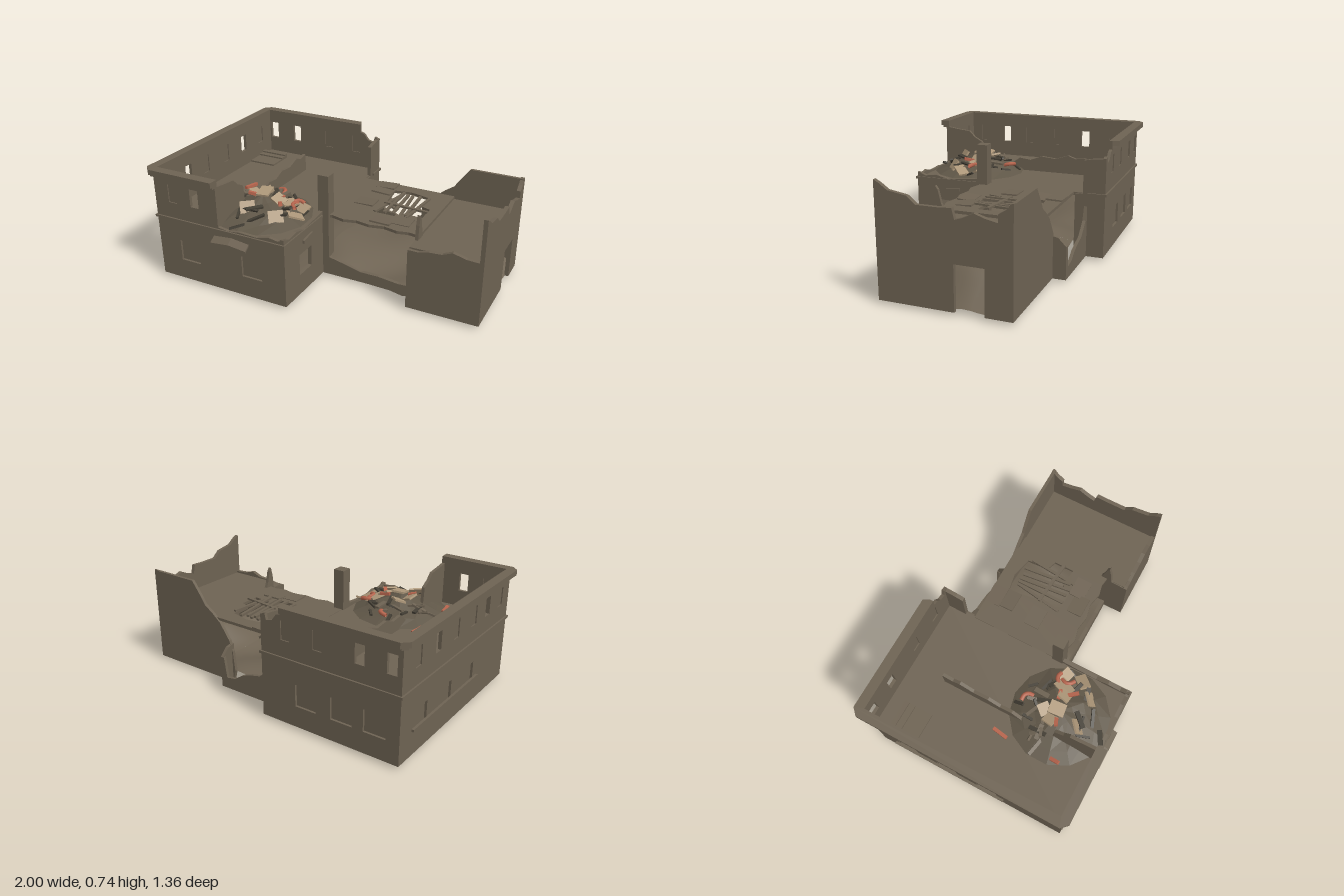
import * as THREE from 'three';

const mat = (name, color) => new THREE.MeshStandardMaterial({ name, color, side: THREE.DoubleSide });

export function createModel() {
  const model = new THREE.Group();
  model.name = 'ruinedBuilding';
  const concrete = mat('concrete', 0x6e6353);
  const dust = mat('dust', 0x605748);
  const plaster = mat('plaster', 0xae987a);
  const brick = mat('brick', 0xb9664e);
  const timber = mat('charredTimber', 0x454036);

  let seed = 11;
  const rnd = (a = 0, b = 1) => {
    seed = (seed * 16807) % 2147483647;
    return a + (b - a) * (seed / 2147483647);
  };
  const add = (name, geo, m = concrete, parent = model) => {
    const mesh = new THREE.Mesh(geo, m);
    mesh.name = name;
    parent.add(mesh);
    return mesh;
  };
  const box = (name, x0, x1, y0, y1, z0, z1) => {
    const g = new THREE.BoxGeometry(x1 - x0, y1 - y0, z1 - z0);
    return add(name, g.translate((x0 + x1) / 2, (y0 + y1) / 2, (z0 + z1) / 2));
  };
  const path = (pts) => pts.map(([a, b]) => new THREE.Vector2(a, b));
  const extrude = (pts, holes, depth) => {
    const s = new THREE.Shape(path(pts));
    holes.forEach((h) => s.holes.push(new THREE.Path(path(h))));
    return new THREE.ExtrudeGeometry(s, { depth, bevelEnabled: false });
  };
  const rect = ([c, y0, y1, w]) => [[c - w / 2, y0], [c + w / 2, y0], [c + w / 2, y1], [c - w / 2, y1]];
  // Boards close the windows: deep in the lower storey, mid-wall in the upper
  const boardAt = (p, t, bottom) => p + t / 2 - (bottom < 0.4 ? Math.sign(p) * (t / 2 - 0.003) : 0);

  // Upright walls; each window is [centre, bottom, top, width, open]
  const wallZ = (name, z, t, pts, wins = []) => {
    add(name, extrude(pts, wins.map(rect), t).translate(0, 0, z));
    wins.filter((w) => !w[4]).forEach(([c, a, b, w]) => {
      const p = boardAt(z, t, a);
      box(name + 'Board', c - w / 2, c + w / 2, a, b, p - 0.003, p + 0.003);
    });
  };
  const wallX = (name, x, t, pts, wins = []) => {
    add(name, extrude(pts, wins.map(rect), t).rotateY(-Math.PI / 2).translate(x + t, 0, 0));
    wins.filter((w) => !w[4]).forEach(([c, a, b, w]) => {
      const p = boardAt(x, t, a);
      box(name + 'Board', p - 0.003, p + 0.003, a, b, c - w / 2, c + w / 2);
    });
  };
  // Flat slabs drawn in x and z
  const slab = (name, y0, y1, pts, holes = []) => {
    const flip = (l) => l.map(([x, z]) => [x, -z]);
    add(name, extrude(flip(pts), holes.map(flip), y1 - y0).rotateX(-Math.PI / 2).translate(0, y0, 0));
  };
  const upper = (c, open) => [c, 0.53, 0.645, 0.06, open];
  const lower = (c, open) => [c, 0.15, 0.285, 0.14, open];

  // Main block walls
  wallX('leftSideWall', -0.96, 0.02, [[-0.64, 0.02], [0.64, 0.02], [0.64, 0.7], [-0.64, 0.7]], [
    upper(0.52), upper(0.34, true), upper(0.16), upper(-0.06), upper(-0.27, true), upper(-0.48),
    lower(-0.43), lower(-0.15), lower(0.13)]);
  wallZ('backWall', -0.64, 0.02, [[-0.96, 0.02], [-0.06, 0.02], [-0.06, 0.65], [-0.09, 0.66], [-0.1, 0.62],
    [-0.14, 0.63], [-0.17, 0.67], [-0.2, 0.68], [-0.2, 0.7], [-0.96, 0.7]], [
    upper(-0.9, true), upper(-0.71, true), upper(-0.445), upper(-0.23),
    lower(-0.365), lower(-0.6), lower(-0.81)]);
  wallZ('frontWall', 0.62, 0.02, [[-0.96, 0.02], [-0.06, 0.02], [-0.06, 0.46], [-0.1, 0.445], [-0.16, 0.455],
    [-0.24, 0.435], [-0.36, 0.44], [-0.44, 0.43], [-0.51, 0.44], [-0.51, 0.7], [-0.96, 0.7]], [
    upper(-0.83), upper(-0.67, true), lower(-0.735), lower(-0.29)]);
  wallX('innerSideWall', -0.085, 0.025, [[0.64, 0.02], [0.64, 0.46], [0.58, 0.44], [0.5, 0.45], [0.42, 0.43],
    [0.3, 0.44], [0.19, 0.45], [0.12, 0.42], [0.12, 0.02]], [lower(0.405, true)]);
  wallX('innerSideWallRear', -0.085, 0.025, [[-0.45, 0.02], [-0.45, 0.42], [-0.5, 0.42], [-0.5, 0.63],
    [-0.55, 0.64], [-0.64, 0.65], [-0.64, 0.02]]);
  slab('upperFloor', 0.405, 0.425, [[-0.95, -0.63], [-0.07, -0.63], [-0.07, 0.63], [-0.95, 0.63]]);
  box('standingPost', -0.09, -0.018, 0.02, 0.685, 0.12, 0.19);

  // Cornice in two steps, and the storey band
  const cornice = (name, o, y0, y1) => slab(name, y0, y1, [[-0.51, 0.64 + o], [-0.96, 0.64 + o],
    [-0.96 - o, 0.64], [-0.96 - o, -0.64], [-0.96, -0.64 - o], [-0.22, -0.64 - o], [-0.2, -0.64],
    [-0.2, -0.62], [-0.94, -0.62], [-0.94, 0.62], [-0.51, 0.62]]);
  cornice('corniceLower', 0.025, 0.688, 0.702);
  cornice('corniceUpper', 0.04, 0.702, 0.735);
  slab('storeyBand', 0.415, 0.43, [[-0.97, -0.65], [-0.05, -0.65], [-0.05, -0.53], [-0.07, -0.53],
    [-0.07, -0.63], [-0.95, -0.63], [-0.95, 0.63], [-0.07, 0.63], [-0.07, 0.2], [-0.052, 0.2],
    [-0.052, 0.65], [-0.97, 0.65]]);
  box('windowSill', -0.975, -0.96, 0.17, 0.185, -0.52, 0.25);

  // Broken awnings, sloping down away from the wall
  const shear = new THREE.Matrix4().set(1, 0, 0, 0, 0, 1, -0.7, 0, 0, 0, 1, 0, 0, 0, 0, 1);
  add('frontAwning', extrude([[-0.545, 0.365], [-0.42, 0.378], [-0.3, 0.365], [-0.3, 0.376], [-0.42, 0.39],
    [-0.545, 0.378]], [], 0.04).applyMatrix4(shear).translate(0, 0, 0.64));
  wallX('sideAwning', -0.06, 0.012, [[0.33, 0.355], [0.435, 0.345], [0.435, 0.365], [0.33, 0.378]]);

  // Broken partition and stair landing on the upper floor
  wallX('partition', -0.53, 0.02, [[-0.39, 0.42], [-0.39, 0.54], [-0.32, 0.53], [-0.27, 0.55], [-0.18, 0.52],
    [-0.08, 0.53], [0, 0.5], [0.08, 0.51], [0.16, 0.45], [0.22, 0.42]]);
  wallX('partitionStub', -0.53, 0.02, [[0.35, 0.42], [0.355, 0.5], [0.365, 0.6], [0.42, 0.63], [0.46, 0.67],
    [0.55, 0.68], [0.62, 0.69], [0.62, 0.42]]);
  [[-0.53, -0.5, 0.455], [-0.5, -0.46, 0.445], [-0.46, -0.345, 0.435]].forEach(([a, b, h]) =>
    box('stairLanding', -0.94, -0.75, 0.42, h, a, b));

  // Link between the blocks: floor with a hole and a broken rear wall
  slab('linkFloor', 0.41, 0.428, [[-0.08, -0.44], [0.57, -0.44], [0.57, 0.18], [0.5, 0.17], [0.43, 0.185],
    [0.34, 0.165], [0.25, 0.185], [0.16, 0.17], [0.08, 0.19], [0, 0.17], [-0.08, 0.18]],
  [[[0.19, -0.34], [0.3, -0.36], [0.43, -0.33], [0.44, -0.19], [0.5, -0.17], [0.5, -0.04], [0.38, -0.05],
    [0.36, 0.01], [0.2, 0.01], [0.22, -0.12]]]);
  wallZ('linkRearWall', -0.53, 0.02, [[-0.08, 0.02], [0.37, 0.02], [0.37, 0.22], [0.345, 0.22], [0.325, 0.09],
    [0.26, 0.1], [0.2, 0.14], [0.13, 0.165], [0.06, 0.18], [0, 0.23], [-0.03, 0.26], [-0.08, 0.4]]);
  wallX('linkRearReturn', 0.35, 0.02, [[-0.53, 0.02], [-0.43, 0.02], [-0.43, 0.28], [-0.48, 0.27], [-0.53, 0.22]]);
  wallZ('hangingSlab', -0.35, 0.07, [[0, 0.42], [0.1, 0.4], [0.16, 0.375], [0.215, 0.33], [0.21, 0.318],
    [0.14, 0.365], [0.08, 0.388], [0, 0.4]]);
  wallZ('frontRubbleEdge', 0.165, 0.025, [[-0.06, 0.02], [0.1, 0.02], [0.25, 0.02], [0.4, 0.015], [0.48, 0],
    [0.56, 0.02], [0.56, 0.08], [0.45, 0.075], [0.32, 0.09], [0.2, 0.09], [0.08, 0.12], [-0.06, 0.15]]);
  for (let i = 0; i < 6; i++) {
    const r = add('rafter', new THREE.BoxGeometry(0.018, 0.014, 0.32));
    r.position.set(0.23 + i * 0.04, 0.425 + rnd(0, 0.012), -0.15 + rnd(-0.02, 0.02));
    r.rotation.set(rnd(-0.06, 0.06), rnd(-0.18, 0.18), 0);
  }
  [[0.12, -0.39], [0.13, -0.3], [0.1, -0.1], [0.3, 0.1], [0.41, 0.06]].forEach(([x, z]) => {
    const s = add('looseSlab', new THREE.BoxGeometry(0.13, 0.01, 0.1));
    s.position.set(x, 0.43, z);
    s.rotation.set(rnd(-0.08, 0.08), 0, rnd(-0.08, 0.08));
  });
  const fallenBeam = add('fallenBeam', new THREE.BoxGeometry(0.3, 0.012, 0.02));
  fallenBeam.position.set(0.36, 0.437, -0.12);
  fallenBeam.rotation.set(0, -0.1, 0.02);

  // Side block with doorway
  wallX('rightSideWall', 0.975, 0.025, [[0.32, 0.02], [0.32, 0.685], [0.29, 0.67], [0.24, 0.635], [0.13, 0.617],
    [0.08, 0.575], [-0.04, 0.575], [-0.12, 0.58], [-0.135, 0.52], [-0.18, 0.535], [-0.24, 0.565], [-0.3, 0.545],
    [-0.37, 0.53], [-0.37, 0.575], [-0.41, 0.6], [-0.44, 0.635], [-0.45, 0.635], [-0.45, 0.02],
    [-0.295, 0.02], [-0.295, 0.285], [-0.125, 0.285], [-0.125, 0.02]]);
  wallZ('sideBlockBackWall', -0.45, 0.02, [[0.35, 0.02], [1, 0.02], [1, 0.63], [0.66, 0.63], [0.585, 0.53],
    [0.56, 0.49], [0.5, 0.45], [0.44, 0.4], [0.37, 0.3], [0.345, 0.23], [0.33, 0.1]]);
  wallZ('sideBlockFrontWall', 0.295, 0.025, [[0.555, 0.02], [1, 0.02], [1, 0.42], [0.9, 0.425], [0.82, 0.445],
    [0.76, 0.42], [0.68, 0.415], [0.62, 0.4], [0.555, 0.4]]);
  wallX('sideBlockInnerWall', 0.555, 0.02, [[0.32, 0.02], [0.32, 0.4], [0.21, 0.41], [0.2, 0.5], [0.185, 0.56],
    [0.17, 0.54], [0.15, 0.46], [0.13, 0.41], [0.13, 0.02]]);
  slab('sideBlockFloor', 0.39, 0.41, [[0.56, -0.44], [0.985, -0.44], [0.985, 0.3], [0.56, 0.3]]);

  // Uneven ground running through all three parts, with humps beside the link,
  // just inside the doorway and against the left wall
  const bump = (v, c, w) => Math.exp(-(((v - c) / w) ** 2));
  const height = (x, z) => 0.075 + 0.11 * bump(x, -0.1, 0.22) * bump(z, -0.1, 0.35)
    + 0.11 * bump(x, 0.76, 0.11) - 0.04 * bump(x, 1, 0.08) + 0.1 * bump(x, -0.96, 0.25) * bump(z, -0.25, 0.35)
    + 0.012 * Math.sin(11 * x + 5 * z) + 0.01 * Math.sin(9 * z - 6 * x + 1) + 0.006 * Math.sin(27 * x * z + 13 * x);
  const ground = (name, x0, x1, z0, z1) => {
    const g = new THREE.PlaneGeometry(x1 - x0, z1 - z0, 16, 16);
    g.rotateX(-Math.PI / 2).translate((x0 + x1) / 2, 0, (z0 + z1) / 2);
    const p = g.attributes.position;
    for (let i = 0; i < p.count; i++) p.setY(i, height(p.getX(i), p.getZ(i)));
    g.computeVertexNormals();
    add(name, g);
  };
  ground('groundMain', -0.95, -0.07, -0.63, 0.63);
  ground('groundLink', -0.07, 0.56, -0.44, 0.18);
  ground('groundSide', 0.56, 0.98, -0.44, 0.3);

  // Rubble heap on the upper floor
  const heap = new THREE.Group();
  heap.name = 'rubbleHeap';
  model.add(heap);
  const cx = -0.39, cz = 0.33, R = 0.305, H = 0.125;
  const heapY = (x, z) => 0.43 + H * Math.max(0, 1 - Math.hypot(x - cx, z - cz) / R);
  let cone = new THREE.ConeGeometry(R, H, 14, 4, true);
  const cp = cone.attributes.position;
  for (let i = 0; i < cp.count; i++) {
    const x = cp.getX(i), z = cp.getZ(i);
    if (cp.getY(i) > -0.05) cp.setY(i, cp.getY(i) + 0.012 * Math.sin(40 * x) * Math.cos(33 * z));
  }
  cone = cone.toNonIndexed();
  cone.computeVertexNormals();
  add('mound', cone.translate(cx, 0.43 + H / 2, cz), dust, heap);
  const chunk = (name, x, z, size, m, tilt, up, yaw) => {
    const c = add(name, new THREE.BoxGeometry(...size), m, heap);
    c.position.set(x, heapY(x, z) + up, z);
    c.rotation.set(rnd(-tilt, tilt), yaw, rnd(-tilt, tilt));
    return c;
  };
  [[-0.46, 0.3], [-0.42, 0.24], [-0.29, 0.31], [-0.15, 0.36], [-0.24, 0.28], [-0.39, 0.31], [-0.17, 0.25]].forEach(([x, z]) =>
    chunk('plasterSlab', x, z, [rnd(0.07, 0.11), 0.012, rnd(0.06, 0.08)], plaster, 0.5, 0.018, rnd(0, 3.1)));
  // Steep slabs leaning on the front slope
  [[-0.42, 0.46], [-0.23, 0.45]].forEach(([x, z]) => {
    const s = chunk('leaningSlab', x, z, [0.09, 0.012, 0.075], plaster, 0, 0.015, 0);
    s.rotation.set(1, 0.7, 0, 'YXZ');
  });
  [[-0.655, 0.07, 1.4, 0.1], [-0.65, 0.43, 1.5, 0.06], [-0.3, 0.28, 0.2, 0.06], [-0.26, 0.35, 2.2, 0.07],
    [-0.46, 0.34, 0.4, 0.05]].forEach(([x, z, yaw, len]) =>
    chunk('brickChunk', x, z, [len, 0.018, 0.022], brick, 0.3, 0.024, yaw));
  for (let i = 0; i < 26; i++) {
    const a = rnd(0, 6.28), r = R * rnd(0.35, 0.92);
    chunk('splinter', cx + r * Math.cos(a), cz + r * Math.sin(a), [rnd(0.05, 0.12), 0.012, rnd(0.012, 0.03)],
      i % 3 ? timber : concrete, 0.45, 0.012, rnd(0, 3.1));
  }

  // Bent clay pipes lying on the heap
  [[-0.39, 0.1, 0], [-0.21, 0.23, 1.2], [-0.2, 0.29, 2.6]].forEach(([x, z, turn]) => {
    const curve = new THREE.CatmullRomCurve3([[-0.035, 0, -0.012], [0, 0.008, -0.01], [0.02, 0.008, 0.01], [0.024, 0, 0.04]]
      .map((v) => new THREE.Vector3(...v)));
    const pipe = add('bentPipe', new THREE.TubeGeometry(curve, 8, 0.013, 6), brick, heap);
    pipe.position.set(x, heapY(x, z) + 0.022, z);
    pipe.rotation.y = turn;
  });
  return model;
}
